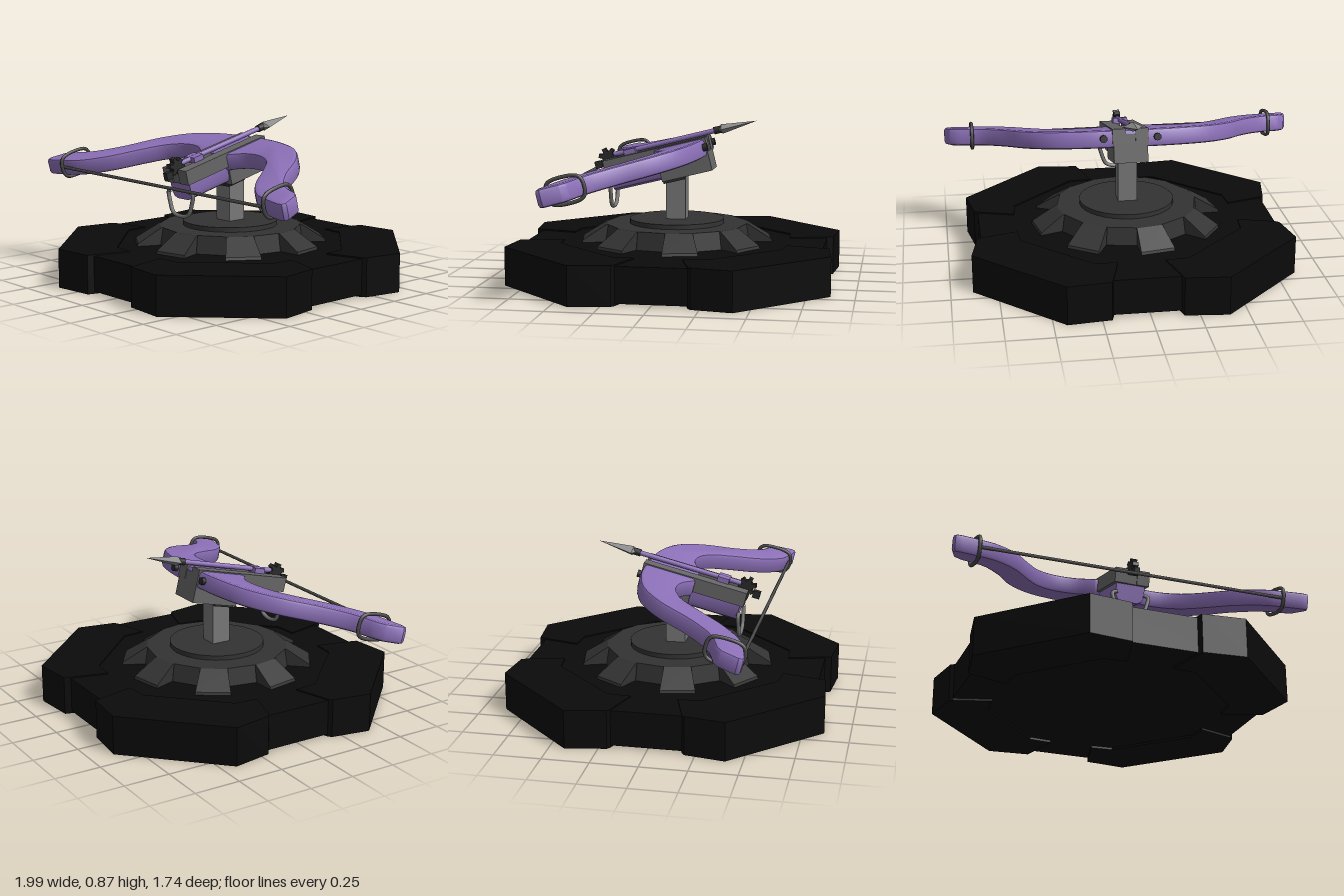
import * as THREE from 'three';
import { toCreasedNormals } from 'three/addons/utils/BufferGeometryUtils.js';

const mat = (color, flatShading = false) => new THREE.MeshStandardMaterial({ color, flatShading });
const black = mat(0x0b0b0b, true), iron = mat(0x333333, true), dark = mat(0x2a2a2a);
const steel = mat(0x666666), wire = mat(0x4a4a4a), tipGrey = mat(0x8c8c8c, true), purple = mat(0x8c70b8);

function add(parent, name, geometry, material, x = 0, y = 0, z = 0) {
  const mesh = new THREE.Mesh(geometry, material);
  mesh.name = name;
  mesh.position.set(x, y, z);
  parent.add(mesh);
  return mesh;
}

// Horizontal slab from [x, z] corners, between heights y0 and y1
function slab(points, y0, y1, bevel = 0) {
  const shape = new THREE.Shape(points.map(([x, z]) => new THREE.Vector2(x, -z)));
  const geo = new THREE.ExtrudeGeometry(shape, {
    depth: y1 - y0 - 2 * bevel, bevelEnabled: bevel > 0, bevelSize: bevel,
    bevelThickness: bevel, bevelOffset: -bevel, bevelSegments: 2,
  });
  return geo.rotateX(-Math.PI / 2).translate(0, y0 + bevel, 0);
}

// Box given by its limits
function block(x0, x1, y0, y1, z0, z1) {
  return new THREE.BoxGeometry(x1 - x0, y1 - y0, z1 - z0)
    .translate((x0 + x1) / 2, (y0 + y1) / 2, (z0 + z1) / 2);
}

const spline = (points, n) => new THREE.CatmullRomCurve3(
  points.map(([x, z]) => new THREE.Vector3(x, 0, z)), false, 'centripetal').getPoints(n).map(p => [p.x, p.z]);

function buildBase(root) {
  const base = new THREE.Group();
  base.name = 'base';
  base.position.set(0.015, 0, -0.005);
  root.add(base);
  const a = 0.81, b = 0.39;
  add(base, 'baseCore', slab([[b, a], [a, b], [a, -b], [b, -a], [-b, -a], [-a, -b], [-a, b], [-b, a]], 0.012, 0.203), black);
  // Raised corner plates
  const plate = [[0.185, 0.845], [0.415, 0.868], [0.868, 0.415], [0.83, 0.2], [0.81, 0.185],
    [0.61, 0.125], [0.6, 0.25], [0.25, 0.6], [0.125, 0.61], [0.175, 0.81]];
  for (const sx of [-1, 1]) for (const sz of [-1, 1])
    add(base, 'cornerPlate', slab(plate.map(([x, z]) => [x * sx, z * sz]), 0, 0.21), black);
}

function buildGear(root) {
  const gear = new THREE.Group();
  gear.name = 'gear';
  gear.position.x = 0.01;
  root.add(gear);
  add(gear, 'gearBody', new THREE.CylinderGeometry(0.385, 0.4, 0.1, 16), iron, 0, 0.25, 0);
  add(gear, 'turntable', toCreasedNormals(new THREE.CylinderGeometry(0.26, 0.26, 0.03, 32), 0.6), mat(0x333333), 0, 0.31, 0);

  // Sloping teeth, wider towards the rim
  const profile = new THREE.Shape([[0.3, 0.2], [0.52, 0.2], [0.515, 0.218], [0.385, 0.3], [0.3, 0.3]]
    .map(([r, y]) => new THREE.Vector2(r, y)));
  const tooth = new THREE.ExtrudeGeometry(profile, { depth: 1, bevelEnabled: false }).translate(0, 0, -0.5);
  const p = tooth.attributes.position;
  for (let i = 0; i < p.count; i++) p.setZ(i, p.getZ(i) * (0.145 + (p.getX(i) - 0.385) * 0.32));
  tooth.computeVertexNormals();
  for (let i = 0; i < 8; i++)
    add(gear, 'gearTooth', tooth, iron).rotation.y = (11 + 45 * i) * Math.PI / 180;

  add(gear, 'post', block(-0.052, 0.052, 0.31, 0.57, -0.055, 0.052), mat(0x777777));
}

function buildBow(bow) {
  // Limb outline: back edge from centre to tip, then the belly edge back to centre
  const back = spline([[0, -0.165], [0.12, -0.162], [0.25, -0.148], [0.43, -0.09], [0.565, 0.03],
    [0.68, 0.215], [0.8, 0.345], [0.93, 0.4]], 30);
  const belly = spline([[0.95, 0.55], [0.86, 0.53], [0.75, 0.495], [0.62, 0.385], [0.51, 0.23],
    [0.415, 0.115], [0.31, 0.066], [0.2, 0.07], [0.1, 0.125]], 30);
  const half = [...back, [0.965, 0.43], [0.995, 0.525], [0.985, 0.548], ...belly];
  const other = half.slice(1).reverse().map(([x, z]) => [-x, z]);
  const limbs = add(bow, 'bowLimbs', toCreasedNormals(slab([...half, ...other], -0.102, -0.006, 0.018), 0.5), purple, -0.01);
  limbs.rotation.y = -0.012;

  // Bands round the limb ends
  for (const [x, z] of [[-0.872, 0.432], [0.825, 0.45]]) {
    const h = 0.095, v = 0.06;
    const loop = [[h, 0.6 * v], [0.75 * h, v], [-0.75 * h, v], [-h, 0.6 * v],
      [-h, -0.6 * v], [-0.75 * h, -v], [0.75 * h, -v], [h, -0.6 * v]];
    const path = new THREE.CatmullRomCurve3(loop.map(([s, u]) => new THREE.Vector3(0, u, s)), true);
    add(bow, 'limbBand', new THREE.TubeGeometry(path, 40, 0.01, 8, true), wire, x, -0.052, z);
  }

  const string = new THREE.LineCurve3(new THREE.Vector3(-0.87, -0.05, 0.52), new THREE.Vector3(0.83, -0.05, 0.542));
  add(bow, 'bowString', new THREE.TubeGeometry(string, 1, 0.009, 8), wire);
}

function buildStock(bow) {
  add(bow, 'mountBlock', block(-0.092, 0.092, -0.185, -0.03, -0.168, 0.115), steel);
  add(bow, 'grooveFloor', block(-0.04, 0.04, -0.08, -0.03, -0.168, 0.405), steel);
  for (const s of [-1, 1]) {
    add(bow, 'rail', block(s * 0.062 - 0.035, s * 0.062 + 0.035, -0.08, 0, -0.172, 0.41), steel);
    // Bolts holding the limbs
    add(bow, 'limbBolt', new THREE.CylinderGeometry(0.02, 0.02, 0.03, 12).rotateX(Math.PI / 2), dark, s * 0.145, -0.05, -0.168);
  }
  add(bow, 'swivelPlate', block(-0.065, 0.065, -0.2, -0.18, -0.005, 0.115), dark);

  // Lower stock with rounded underside
  const c = new THREE.Shape([[-0.08, -0.06], [-0.08, -0.14], [-0.068, -0.165], [-0.045, -0.177],
    [0.045, -0.177], [0.068, -0.165], [0.08, -0.14], [0.08, -0.06]].map(q => new THREE.Vector2(...q)));
  add(bow, 'lowerStock', toCreasedNormals(new THREE.ExtrudeGeometry(c, { depth: 0.34, bevelEnabled: false }), 0.6), purple, 0, 0, 0.05);

  // Toothed string catch
  add(bow, 'catchWheel', new THREE.CylinderGeometry(0.032, 0.032, 0.034, 16).rotateZ(Math.PI / 2), dark, 0, 0.012, 0.395);
  for (let i = 0; i < 6; i++) {
    const t = i * Math.PI / 3 + 0.3;
    add(bow, 'catchTooth', new THREE.BoxGeometry(0.034, 0.022, 0.022), dark,
      0, 0.012 + 0.038 * Math.sin(t), 0.395 + 0.038 * Math.cos(t)).rotation.x = -t;
  }
  add(bow, 'catchTail', new THREE.BoxGeometry(0.03, 0.04, 0.04), dark, 0, -0.02, 0.455);
}

function buildArrow(bow) {
  const arrow = new THREE.Group();
  arrow.name = 'arrow';
  arrow.position.y = 0.016;
  bow.add(arrow);
  const rod = (r, z0, z1) => new THREE.CylinderGeometry(r, r, z1 - z0, 12).rotateX(Math.PI / 2).translate(0, 0, (z0 + z1) / 2);
  add(arrow, 'arrowShaft', rod(0.014, -0.26, 0.36), purple);
  add(arrow, 'arrowCollar', rod(0.02, -0.262, -0.215), dark);
  add(arrow, 'arrowNock', block(-0.04, 0.04, -0.02, 0.012, 0.23, 0.295), purple);
  // Flattened four-sided head pointing backwards
  const head = new THREE.CylinderGeometry(0, 1, 0.195, 4).rotateX(-Math.PI / 2);
  const heel = new THREE.CylinderGeometry(1, 0.3, 0.02, 4).rotateX(-Math.PI / 2);
  add(arrow, 'arrowHead', head.scale(0.054, 0.026, 1), tipGrey, 0, 0, -0.3575);
  add(arrow, 'arrowHeel', heel.scale(0.054, 0.026, 1), tipGrey, 0, 0, -0.25);
}

export function createModel() {
  const root = new THREE.Group();
  root.name = 'mountedCrossbow';
  buildBase(root);
  buildGear(root);

  // Crossbow tilted upwards to the rear
  const bow = new THREE.Group();
  bow.name = 'crossbow';
  bow.position.set(0.01, 0.74, 0);
  bow.rotation.x = 0.245;
  root.add(bow);
  buildBow(bow);
  buildStock(bow);
  buildArrow(bow);

  // Hanging stirrup under the stock
  const loop = [[-0.075, 0.52], [-0.1, 0.51], [-0.09, 0.455], [-0.065, 0.4], [-0.025, 0.385],
    [0.025, 0.385], [0.065, 0.4], [0.09, 0.455], [0.1, 0.51], [0.075, 0.52]];
  const path = new THREE.CatmullRomCurve3(loop.map(([x, y]) => new THREE.Vector3(x, y, 0)));
  add(root, 'stirrup', new THREE.TubeGeometry(path, 48, 0.011, 8), mat(0x777777), 0.01, 0, 0.352);
  return root;
}
